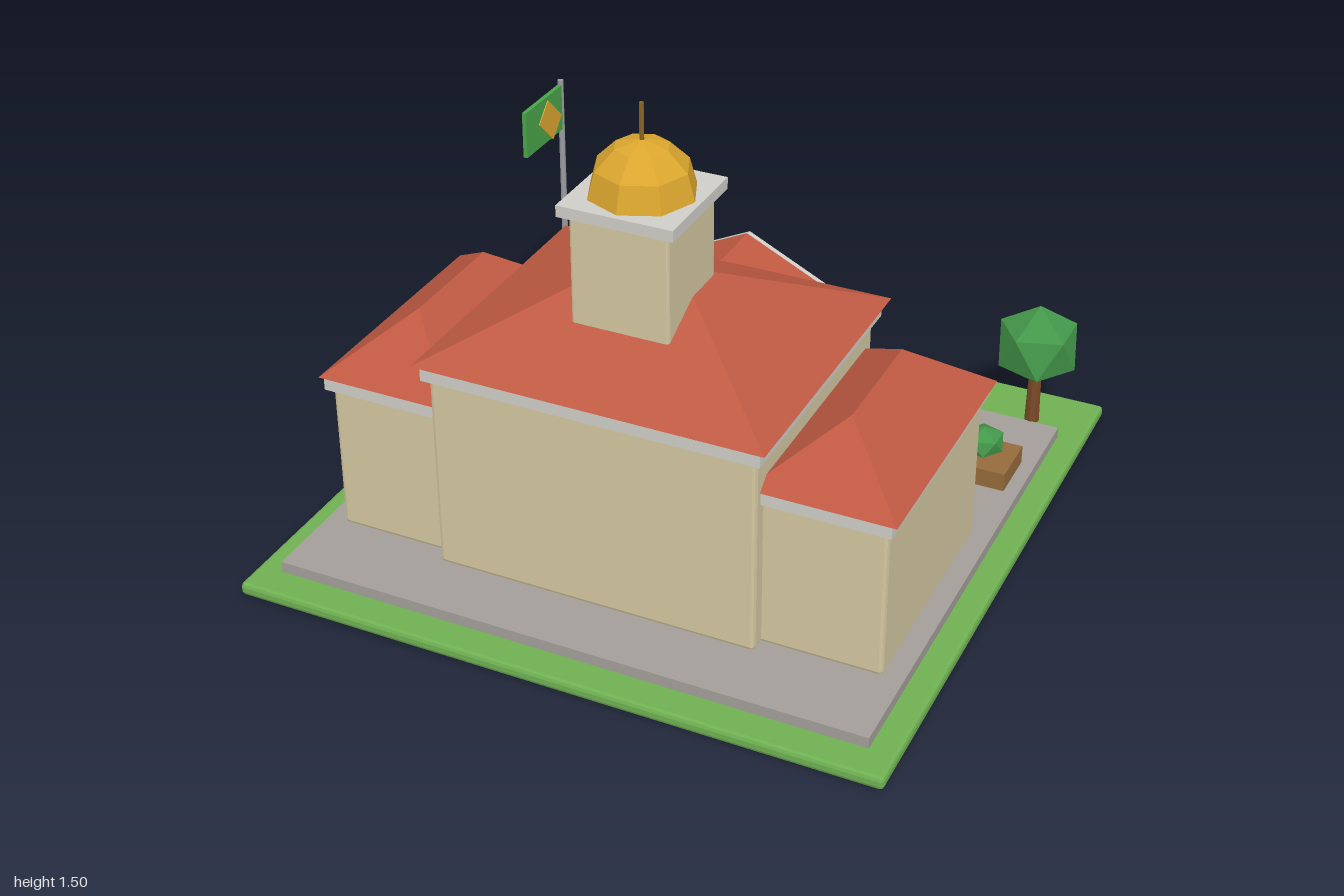
import * as THREE from 'three';
import { RoundedBoxGeometry } from 'three/addons/geometries/RoundedBoxGeometry.js';

const mat = (color) => new THREE.MeshStandardMaterial({ color, flatShading: true });
const M = {
  grass: mat(0x6fb052), paving: mat(0xa39e98), wall: mat(0xd3c6a0), trim: mat(0xd0cec8),
  roof: mat(0xc05a43), gold: mat(0xdba62e), bronze: mat(0x8a6420), glass: mat(0x6f9dc8),
  wood: mat(0x7a4a26), soil: mat(0x966a3c), blue: mat(0x3c6fb0), pole: mat(0x9a9ca0),
  leaf: mat(0x43974a), lightLeaf: mat(0x6bb84f), flag: mat(0x4aa548), dark: mat(0x2a2a2a),
};

export function createModel() {
  const root = new THREE.Group();

  function add(name, geo, material, x = 0, y = 0, z = 0, parent = root) {
    const m = new THREE.Mesh(geo, material);
    m.name = name;
    m.position.set(x, y, z);
    parent.add(m);
    return m;
  }
  // Box given by its extents, optionally with softened edges
  function block(name, material, [x0, x1], [y0, y1], [z0, z1], r = 0) {
    const s = [x1 - x0, y1 - y0, z1 - z0];
    const geo = r ? new RoundedBoxGeometry(...s, 1, r) : new THREE.BoxGeometry(...s);
    return add(name, geo, material, (x0 + x1) / 2, (y0 + y1) / 2, (z0 + z1) / 2);
  }
  // Hipped roof: a box whose top is drawn in by the same inset on every side
  function hipRoof(name, [x0, x1], [y0, y1], [z0, z1], inset) {
    const w = x1 - x0, d = z1 - z0;
    const geo = new THREE.BoxGeometry(w, y1 - y0, d).toNonIndexed();
    const p = geo.attributes.position;
    for (let i = 0; i < p.count; i++) {
      if (p.getY(i) < 0) continue;
      p.setX(i, Math.sign(p.getX(i)) * (w / 2 - inset));
      p.setZ(i, Math.sign(p.getZ(i)) * (d / 2 - inset));
    }
    geo.computeVertexNormals();
    add(name, geo, M.roof, (x0 + x1) / 2, (y0 + y1) / 2, (z0 + z1) / 2);
  }
  // Triangular prism along z, from zBack toward -z
  function gable(name, material, half, y0, y1, zFront, zBack) {
    const s = new THREE.Shape([[-half, y0], [half, y0], [0, y1]].map((p) => new THREE.Vector2(...p)));
    const geo = new THREE.ExtrudeGeometry(s, { depth: zBack - zFront, bevelEnabled: false });
    add(name, geo, material, 0, 0, zFront);
  }
  // Framed window with two panes; built facing +z, then turned
  function window2(name, x, y, z, turn, w, h = 0.2) {
    const g = new THREE.Group();
    g.name = name;
    g.position.set(x, y, z);
    g.rotation.y = turn;
    add('windowFrame', new THREE.BoxGeometry(w, h, 0.03), M.trim, 0, 0, 0, g);
    const pane = (w - 0.05) / 2;
    for (const s of [-1, 1])
      add('windowPane', new THREE.BoxGeometry(pane, h - 0.04, 0.02), M.glass, s * (pane / 2 + 0.006), 0, 0.016, g);
    root.add(g);
  }
  // Icosahedron standing on one corner
  function foliage(name, material, r, squash, x, y, z) {
    const geo = new THREE.IcosahedronGeometry(r).rotateZ(Math.atan(2 / (1 + Math.sqrt(5))));
    add(name, geo.scale(1, squash, 1), material, x, y, z);
  }

  // Ground
  block('lawn', M.grass, [-1, 1], [0, 0.04], [-1, 1], 0.012);
  block('paving', M.paving, [-0.92, 0.92], [0.04, 0.075], [-0.755, 0.9]);

  // Main hall
  block('mainWalls', M.wall, [-0.5, 0.5], [0.075, 0.71], [-0.14, 0.7], 0.012);
  block('mainCornice', M.trim, [-0.517, 0.517], [0.7, 0.75], [-0.165, 0.717]);
  hipRoof('mainRoof', [-0.537, 0.537], [0.75, 0.94], [-0.19, 0.735], 0.385);
  for (const x of [-0.37, 0.37]) window2('mainWindow', x, 0.57, -0.148, Math.PI, 0.18, 0.18);
  for (const z of [0.0, 0.28, 0.56]) window2('mainSideWindow', -0.505, 0.57, z, -Math.PI / 2, 0.15, 0.19);

  // Side wings
  for (const s of [-1, 1]) {
    const span = (a, b) => (s > 0 ? [a, b] : [-b, -a]);
    block('wingWalls', M.wall, span(0.48, 0.86), [0.075, 0.56], [-0.1, 0.65], 0.012);
    block('wingCornice', M.trim, span(0.48, 0.875), [0.55, 0.59], [-0.12, 0.67]);
    hipRoof('wingRoof', span(0.455, 0.89), [0.59, 0.76], [-0.135, 0.675], 0.2175);
    window2('wingWindow', s * 0.68, 0.35, -0.105, Math.PI, 0.27);
  }
  for (const z of [0.09, 0.275, 0.46]) window2('wingSideWindow', -0.865, 0.35, z, -Math.PI / 2, 0.15);

  // Clock tower
  block('towerWalls', M.wall, [-0.15, 0.15], [0.7, 1.205], [0.203, 0.5], 0.008);
  block('towerCap', M.trim, [-0.175, 0.175], [1.2, 1.235], [0.175, 0.525]);
  add('dome', new THREE.SphereGeometry(0.158, 8, 3, 0, Math.PI * 2, 0, Math.PI / 2), M.gold, 0, 1.235, 0.35);
  add('finial', new THREE.CylinderGeometry(0.007, 0.007, 0.12, 8), M.bronze, 0, 1.44, 0.35);
  add('clockFace', new THREE.CylinderGeometry(0.095, 0.095, 0.02, 16).rotateX(Math.PI / 2), M.trim, 0, 1.04, 0.196);
  block('minuteHand', M.dark, [-0.007, 0.007], [1.035, 1.1], [0.18, 0.188]);
  block('hourHand', M.dark, [-0.05, 0.007], [1.033, 1.047], [0.18, 0.188]);

  // Portico
  [[0.4, -0.505], [0.37, -0.43], [0.345, -0.355]].forEach(([half, z], i) =>
    block('step', M.trim, [-half, half], [0.075 + i * 0.035, 0.11 + i * 0.035], [z, -0.13]));
  block('door', M.wood, [-0.1, 0.1], [0.18, 0.43], [-0.163, -0.13]);
  for (const x of [-0.255, -0.085, 0.085, 0.255]) {
    add('column', new THREE.CylinderGeometry(0.027, 0.031, 0.37, 10), M.trim, x, 0.365, -0.287);
    block('columnBase', M.trim, [x - 0.037, x + 0.037], [0.18, 0.195], [-0.324, -0.25]);
    block('columnCap', M.trim, [x - 0.037, x + 0.037], [0.53, 0.545], [-0.324, -0.25]);
  }
  block('entablature', M.trim, [-0.35, 0.35], [0.545, 0.59], [-0.358, -0.13]);
  gable('porticoRoof', M.roof, 0.355, 0.59, 0.762, -0.36, -0.1);
  gable('pediment', M.trim, 0.345, 0.59, 0.758, -0.383, -0.36);
  gable('pedimentPanel', M.blue, 0.25, 0.612, 0.725, -0.4, -0.383);
  block('pedimentOrnament', M.gold, [-0.04, 0.04], [0.605, 0.66], [-0.416, -0.4]);

  // Planters with bushes
  for (const [x0, x1] of [[-0.875, -0.425], [0.425, 0.875]])
    block('planter', M.soil, [x0, x1], [0.075, 0.135], [-0.515, -0.34]);
  [-0.755, -0.53, 0.55, 0.775].forEach((x, i) =>
    foliage('bush', i % 2 ? M.leaf : M.lightLeaf, 0.07, 0.74, x, 0.182, -0.425));

  // Tree
  add('treeTrunk', new THREE.CylinderGeometry(0.02, 0.024, 0.2, 8), M.wood, 0.825, 0.17, -0.775);
  foliage('treeCrown', M.leaf, 0.14, 1, 0.825, 0.35, -0.775);

  // Flagpole
  add('flagpole', new THREE.CylinderGeometry(0.01, 0.01, 0.945, 8), M.pole, -0.775, 0.547, -0.62);
  block('flag', M.flag, [-0.782, -0.768], [0.85, 1.005], [-0.615, -0.375]);
  const diamond = add('flagDiamond', new THREE.BoxGeometry(0.02, 0.087, 0.124), M.gold, -0.775, 0.918, -0.53);
  diamond.rotation.x = -Math.PI / 4;

  return root;
}
